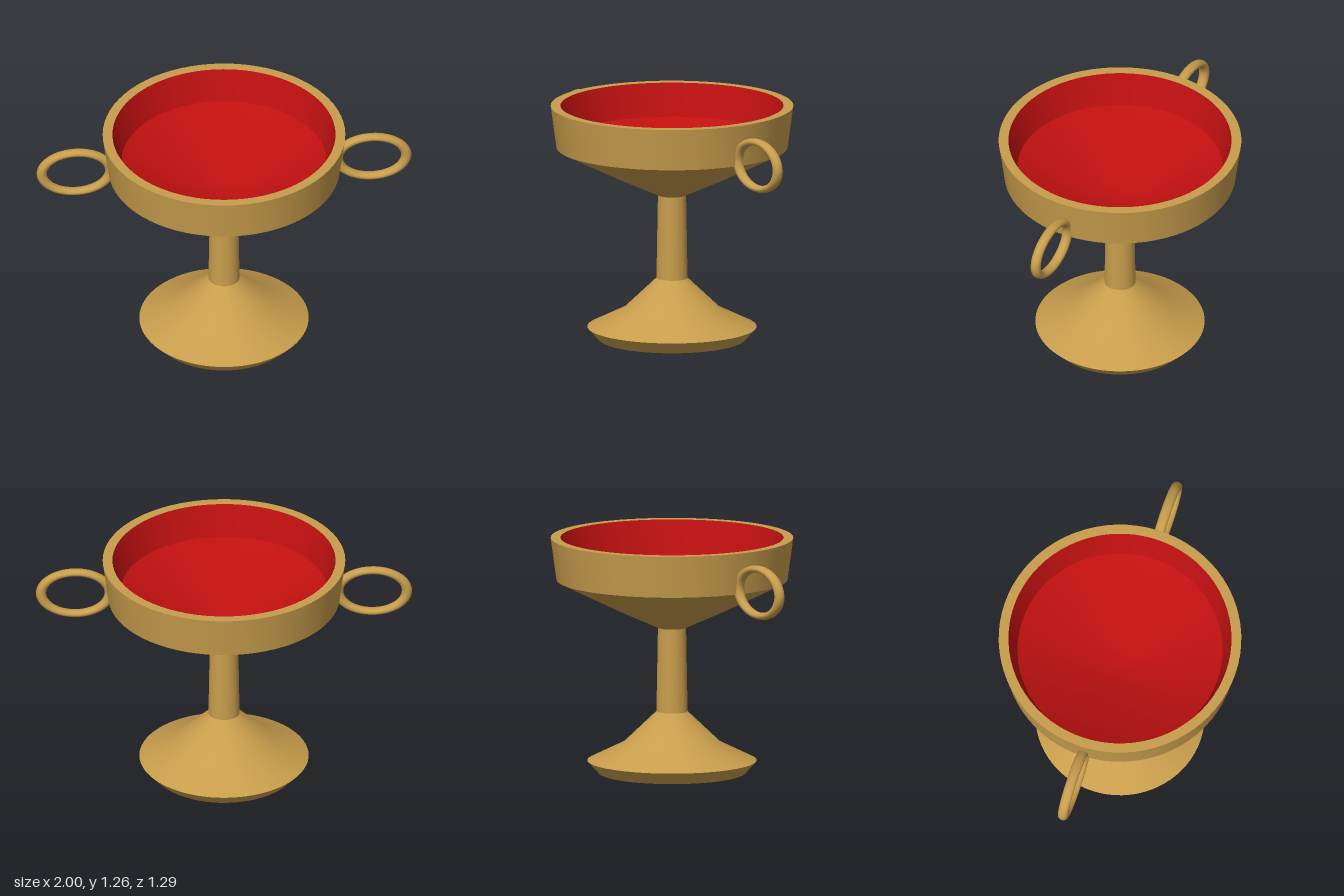
import * as THREE from 'three';
import { toCreasedNormals } from 'three/addons/utils/BufferGeometryUtils.js';

const gold = new THREE.MeshStandardMaterial({ name: 'gold', color: 0xc89d4c });
const red = new THREE.MeshStandardMaterial({ name: 'red', color: 0xc01010 });

// Turned part from [radius, height] pairs, smooth around and sharp at strong corners
function turned(name, profile, material) {
  const points = profile.map(([r, y]) => new THREE.Vector2(r, y));
  const mesh = new THREE.Mesh(toCreasedNormals(new THREE.LatheGeometry(points, 72), 0.55), material);
  mesh.name = name;
  return mesh;
}

export function createModel() {
  const cup = new THREE.Group();
  cup.name = 'cup';

  // Flared foot with a closed underside
  cup.add(turned('foot', [[0, 0], [0.39, 0], [0.45, 0.066], [0.26, 0.16], [0.083, 0.33]], gold));

  // Slightly tapering stem
  cup.add(turned('stem', [[0.083, 0.33], [0.075, 0.78]], gold));

  // Outside of the bowl, up and over the flat rim
  cup.add(turned('bowl', [[0.075, 0.78], [0.29, 0.879], [0.615, 1.04], [0.645, 1.265], [0.593, 1.265]], gold));

  // Lining: leaning wall, sloping basin and small flat floor
  cup.add(turned('lining', [[0.593, 1.265], [0.545, 1.09], [0.13, 0.88], [0, 0.88]], red));

  // Oval ring handles on both sides
  for (const side of [-1, 1]) {
    const handle = new THREE.Mesh(new THREE.TorusGeometry(0.1825, 0.0275, 16, 64), gold);
    handle.name = side > 0 ? 'leftHandle' : 'rightHandle';
    handle.scale.y = 0.686;
    handle.position.set(side * 0.79, 1.072, 0);
    cup.add(handle);
  }
  return cup;
}
